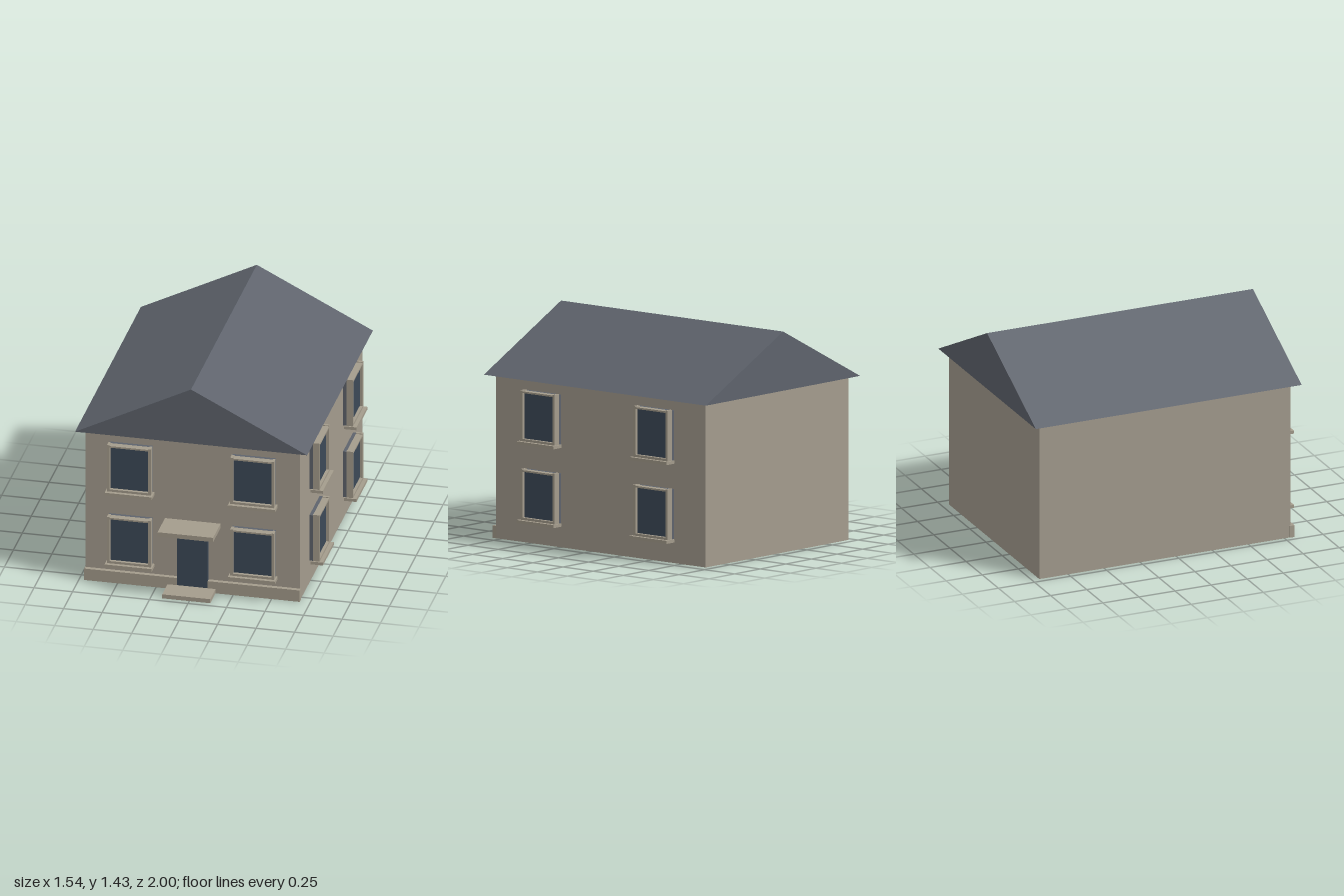
import * as THREE from 'three';

const material = (name, color) => {
  const m = new THREE.MeshStandardMaterial({ color });
  m.name = name;
  return m;
};

export function createModel() {
  const wall = material('stone wall', 0xa49c8e);
  const trim = material('stone trim', 0xa49c8c);
  const slate = material('slate grey', 0x5e636c);
  const glass = material('dark blue', 0x3c4957);

  const house = new THREE.Group();
  house.name = 'house';

  // Box given by its limits on each axis
  function box(parent, name, mat, [x0, x1], [y0, y1], [z0, z1]) {
    const mesh = new THREE.Mesh(new THREE.BoxGeometry(x1 - x0, y1 - y0, z1 - z0), mat);
    mesh.position.set((x0 + x1) / 2, (y0 + y1) / 2, (z0 + z1) / 2);
    mesh.name = name;
    parent.add(mesh);
    return mesh;
  }

  // Walls
  box(house, 'walls', wall, [-0.713, 0.68], [0, 1.05], [-0.95, 0.79]);

  // Gabled roof, closed prism along z
  const gable = new THREE.Shape([
    new THREE.Vector2(-0.77, 1.05),
    new THREE.Vector2(0.737, 1.05),
    new THREE.Vector2(-0.017, 1.43),
  ]);
  const roof = new THREE.Mesh(
    new THREE.ExtrudeGeometry(gable, { depth: 1.843, bevelEnabled: false }), slate);
  roof.position.z = -1;
  roof.name = 'roof';
  house.add(roof);

  // Plinth, door, step and canopy
  box(house, 'plinthLeft', trim, [0.085, 0.683], [0, 0.08], [0.785, 0.818]);
  box(house, 'plinthRight', trim, [-0.717, -0.115], [0, 0.08], [0.785, 0.818]);
  box(house, 'door', glass, [-0.115, 0.085], [0.03, 0.42], [0.785, 0.817]);
  box(house, 'doorStep', trim, [-0.175, 0.137], [0.002, 0.03], [0.785, 0.968]);
  box(house, 'doorCanopy', trim, [-0.198, 0.163], [0.45, 0.48], [0.785, 1]);

  // Window: local origin at the wall surface, bottom of the sill
  function makeWindow() {
    const w = new THREE.Group();
    w.name = 'window';
    box(w, 'backing', slate, [-0.141, 0.141], [0.018, 0.342], [-0.005, 0.045]).scale.set(0.97, 0.98, 1);
    box(w, 'pane', glass, [-0.122, 0.122], [0.037, 0.327], [0.042, 0.048]);
    box(w, 'baseFrame', slate, [-0.141, 0.141], [0.02, 0.34], [-0.005, 0.022]);
    for (const s of [-1, 1]) {
      const edges = [s * 0.125, s * 0.143].sort((a, b) => a - b);
      box(w, 'jamb', trim, edges, [0.02, 0.345], [0.022, 0.066]);
    }
    box(w, 'head', trim, [-0.125, 0.125], [0.329, 0.34], [0.022, 0.066]);
    box(w, 'bottomRail', trim, [-0.125, 0.125], [0.02, 0.035], [0.022, 0.066]);
    box(w, 'sill', trim, [-0.153, 0.153], [0, 0.02], [0.01, 0.09]);
    return w;
  }

  // Two floors of windows on the front and on the left side
  for (const y of [0.135, 0.64]) {
    for (const x of [-0.417, 0.383]) {
      const w = makeWindow();
      w.position.set(x, y, 0.79);
      house.add(w);
    }
    for (const z of [0.391, -0.547]) {
      const w = makeWindow();
      w.rotation.y = Math.PI / 2;
      w.position.set(0.68, y, z);
      house.add(w);
    }
  }

  return house;
}
